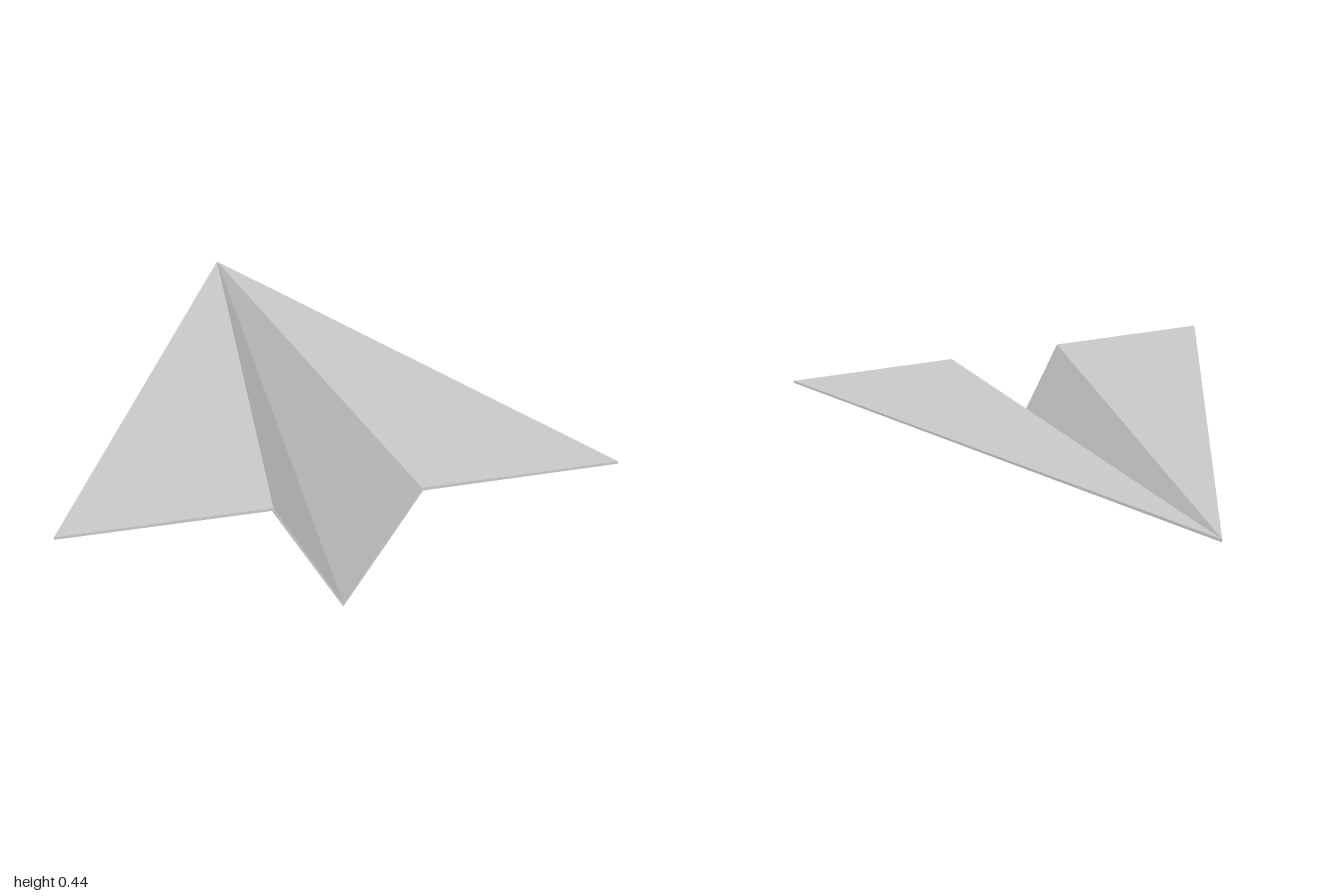
import * as THREE from 'three';

// Rear edge points and nose, each with a top and an underside position
const nose = { top: [0, 0.434, -1], under: [0, 0.423, -1] };
const keel = { top: [0, 0.013, 0.98], under: [0, 0, 0.98] };
const fold = { top: [0.245, 0.44, 1], under: [0.25, 0.429, 1] };
const tip = { top: [0.93, 0.44, 1], under: [0.93, 0.431, 1] };

// Thin folded sheet panel running from a rear edge to the nose
function panel(name, inner, outer, side, material) {
  const positions = [];
  const tri = (a, b, c) => {
    const corners = side > 0 ? [a, b, c] : [a, c, b];
    for (const [x, y, z] of corners) positions.push(x * side, y, z);
  };
  const quad = (a, b, c, d) => { tri(a, b, c); tri(a, c, d); };

  tri(inner.top, outer.top, nose.top);
  tri(inner.under, nose.under, outer.under);
  quad(inner.under, outer.under, outer.top, inner.top);
  // Only the wing has an exposed leading edge
  if (outer === tip) quad(outer.under, nose.under, nose.top, outer.top);

  const geometry = new THREE.BufferGeometry();
  geometry.setAttribute('position', new THREE.Float32BufferAttribute(positions, 3));
  geometry.computeVertexNormals();
  const mesh = new THREE.Mesh(geometry, material);
  mesh.name = name;
  return mesh;
}

export function createModel() {
  const group = new THREE.Group();
  group.name = 'paperPlane';
  const paper = new THREE.MeshStandardMaterial({ color: 0xcccccc, flatShading: true });

  for (const [label, side] of [['left', 1], ['right', -1]]) {
    group.add(panel(label + 'Wing', fold, tip, side, paper));
    group.add(panel(label + 'BodyPanel', keel, fold, side, paper));
  }
  return group;
}
